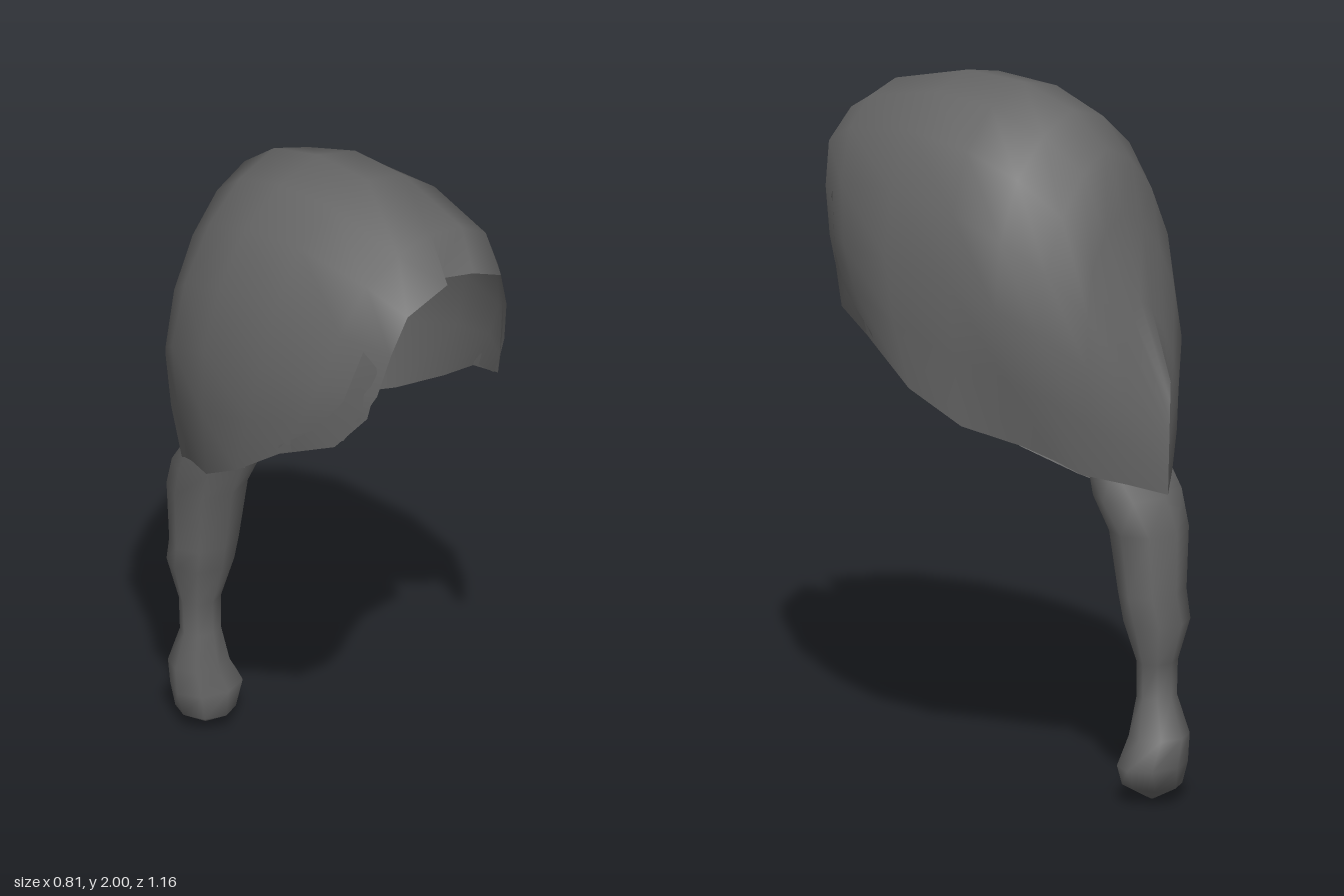
import * as THREE from 'three';

const hairGrey = new THREE.MeshStandardMaterial({ color: 0x666666, side: THREE.DoubleSide });
hairGrey.name = 'hair grey';

// Smooth skin over rows of cross-section points
function skin(name, rows, closed = false) {
  const n = rows[0].length, index = [];
  for (let i = 0; i < rows.length - 1; i++) {
    for (let j = 0; j < (closed ? n : n - 1); j++) {
      const a = i * n + j, b = i * n + (j + 1) % n;
      index.push(a, a + n, b, b, a + n, b + n);
    }
  }
  const g = new THREE.BufferGeometry();
  g.setAttribute('position', new THREE.Float32BufferAttribute(rows.flat(2), 3));
  g.setIndex(index);
  g.computeVertexNormals();
  const mesh = new THREE.Mesh(g, hairGrey);
  mesh.name = name;
  return mesh;
}

// Full arch from +x to -x out of a half arch that starts at the centre line
const flip = ([x, y, z]) => [-x, y, z];
const arch = (half) => [...half.slice(1).reverse(), ...half.map(flip)];

// Arch rounded by a spline, two steps per control point
function roundArch(half) {
  const curve = new THREE.CatmullRomCurve3(arch(half).map((p) => new THREE.Vector3(...p)));
  return curve.getPoints(12).map((p) => p.toArray());
}

export function createModel() {
  const model = new THREE.Group();
  model.name = 'hair';

  // Cap: arches from the fringe to the pointed nape; each runs crown, shoulder, side, rim
  const cap = [
    [[0, 1.84, .585], [.18, 1.77, .555], [.245, 1.52, .5], [.29, 1.36, .41]],
    [[0, 1.93, .46], [.23, 1.84, .44], [.345, 1.54, .37], [.375, 1.29, .25]],
    [[0, 2, .2], [.26, 1.88, .2], [.395, 1.54, .18], [.4, 1.18, .09]],
    [[0, 2, 0], [.27, 1.86, -.01], [.395, 1.5, -.05], [.365, 1.09, -.07]],
    [[0, 1.95, -.18], [.25, 1.8, -.18], [.375, 1.45, -.2], [.28, 1.04, -.22]],
    [[0, 1.86, -.3], [.2, 1.7, -.3], [.305, 1.38, -.3], [.23, 1, -.3]],
    [[0, 1.68, -.36], [.15, 1.55, -.37], [.21, 1.28, -.4], [.185, .96, -.36]],
    [[0, 1.44, -.42], [.08, 1.34, -.44], [.115, 1.16, -.465], [.1, .93, -.455]],
  ].map(roundArch);
  // Parting notch in the fringe
  cap[0][5] = [.05, 1.835, .58];
  cap[0][6] = [0, 1.8, .49];
  cap[0][7] = flip(cap[0][5]);
  // Upright ridge that closes the nape
  cap.push(cap[0].map((_, j) => [0, 1.22 - Math.abs(j - 6) / 6 * .33, -.53 + Math.abs(j - 6) / 6 * .01]));
  model.add(skin('cap', cap));

  // Inner nape panel, dropping from the lining to the lower rim
  const nape = [
    [[0, 1.23, -.38], [.2, 1.24, -.32], [.28, 1.34, -.22]],
    [[0, 1.14, -.34], [.17, 1.16, -.28], [.33, 1.18, -.1]],
    [[0, .88, -.3], [.18, .96, -.34], [.28, 1.04, -.21]],
  ];
  model.add(skin('napePanel', nape.map((half) => arch(half).reverse())));

  // Loose locks beside the face
  const lock = [
    [[.27, 1.66, .47], [.31, 1.5, .43], [.345, 1.4, .36], [.38, 1.31, .24]],
    [[.24, 1.6, .505], [.255, 1.44, .47], [.315, 1.345, .4], [.375, 1.28, .235]],
  ];
  model.add(skin('leftLock', [lock[1], lock[0]]));
  model.add(skin('rightLock', lock.map((row) => row.map(flip))));

  // Ponytail rings: y, min x, max x, min z, max z
  const rings = [
    [.98, -.16, .16, -.43, -.3], [.88, -.155, .15, -.51, -.305],
    [.78, -.13, .12, -.55, -.345], [.6, -.115, .1, -.545, -.37], [.52, -.1, .1, -.57, -.39],
    [.4, -.07, .06, -.53, -.425], [.3, -.065, .06, -.53, -.425], [.19, -.085, .095, -.575, -.41],
    [.11, -.08, .145, -.58, -.4], [.045, -.07, .1, -.56, -.39], [0, .005, .015, -.475, -.465],
  ];
  const sides = 8;
  model.add(skin('ponytail', rings.map(([y, x0, x1, z0, z1]) =>
    Array.from({ length: sides }, (_, k) => {
      const t = k / sides * Math.PI * 2;
      return [(x0 + x1) / 2 + Math.cos(t) * (x1 - x0) / 2, y, (z0 + z1) / 2 - Math.sin(t) * (z1 - z0) / 2];
    })), true));

  return model;
}
